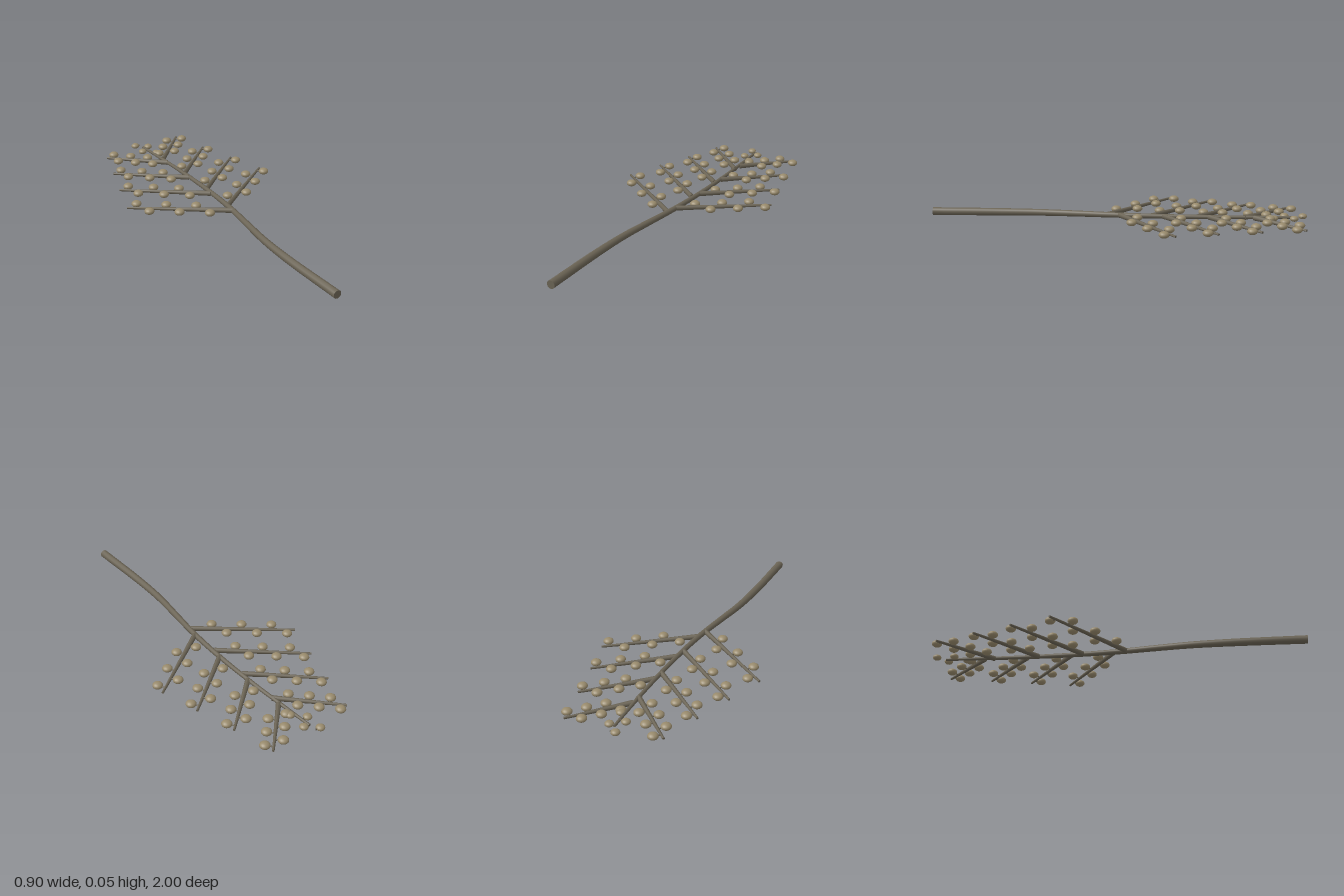
import * as THREE from 'three';

const V = (x, y, z) => new THREE.Vector3(x, y, z);
const UP = V(0, 1, 0);

// Capped cylinder bent along a curve, tapering from r0 to r1
function taperedRod(curve, r0, r1, sides, steps) {
  const geo = new THREE.CylinderGeometry(1, 1, 1, sides, steps);
  const pos = geo.attributes.position;
  for (let i = 0; i < pos.count; i++) {
    const t = THREE.MathUtils.clamp(pos.getY(i) + 0.5, 0, 1);
    const r = THREE.MathUtils.lerp(r0, r1, t);
    const tangent = curve.getTangent(t);
    const side = tangent.clone().cross(UP).normalize();
    const up = side.clone().cross(tangent);
    const p = curve.getPoint(t)
      .addScaledVector(side, pos.getX(i) * r)
      .addScaledVector(up, pos.getZ(i) * r);
    pos.setXYZ(i, p.x, p.y, p.z);
  }
  geo.computeVertexNormals();
  return geo;
}

export function createModel() {
  const model = new THREE.Group();
  model.name = 'berrySprig';
  const bark = new THREE.MeshStandardMaterial({ color: 0x6a6354 });
  const tan = new THREE.MeshStandardMaterial({ color: 0x988a6c });
  const berryGeo = new THREE.SphereGeometry(1, 16, 12);

  function addRod(parent, name, curve, r0, r1, sides, steps) {
    const rod = new THREE.Mesh(taperedRod(curve, r0, r1, sides, steps), bark);
    rod.name = name;
    parent.add(rod);
  }

  // Flattened berry on a short stalk
  function addBerry(parent, from, at, r) {
    addRod(parent, 'stalk', new THREE.LineCurve3(from, at), 0.004, 0.003, 6, 1);
    const berry = new THREE.Mesh(berryGeo, tan);
    berry.name = 'berry';
    berry.position.copy(at);
    berry.scale.set(r, r * 0.66, r);
    parent.add(berry);
  }

  // Main stem, gently S-curved and lying flat
  const stemCurve = new THREE.CatmullRomCurve3([
    V(-0.009, 0.022, 1), V(-0.022, 0.025, 0.62), V(-0.018, 0.028, 0.4),
    V(0.001, 0.031, 0.2), V(0.02, 0.033, 0), V(0.027, 0.034, -0.25),
    V(0.02, 0.035, -0.52), V(0.005, 0.036, -0.76), V(-0.009, 0.036, -0.935),
  ]);
  addRod(model, 'stem', stemCurve, 0.022, 0.007, 14, 48);

  // Side branches: base x, base z, tip x, tip z
  const branches = [
    [0.018, 0.05, -0.447, -0.275], [0.018, -0.19, -0.384, -0.49],
    [0.018, -0.43, -0.32, -0.70], [0.013, -0.67, -0.257, -0.915],
    [0.02, -0.015, 0.428, -0.335], [0.028, -0.25, 0.365, -0.545],
    [0.024, -0.49, 0.302, -0.76], [0.013, -0.725, 0.24, -0.98],
  ];
  for (const [bx, bz, tx, tz] of branches) {
    const branch = new THREE.Group();
    branch.name = tx < 0 ? 'rightBranch' : 'leftBranch';
    const line = new THREE.LineCurve3(V(bx, 0.034, bz), V(tx, 0.031, tz));
    addRod(branch, 'twig', line, 0.014, 0.006, 10, 1);
    const dir = line.getTangent(0);
    const across = V(-dir.z, 0, dir.x).normalize();
    // Six berries alternating along the twig
    for (let i = 0; i < 6; i++) {
      const from = line.getPoint(0.215 + 0.141 * i);
      const at = from.clone().addScaledVector(across, i % 2 ? 0.041 : -0.041);
      at.y = 0.037;
      addBerry(branch, from, at, 0.027);
    }
    model.add(branch);
  }

  // Small berries around the stem tip: stalk x, berry x, z
  const tip = new THREE.Group();
  tip.name = 'tipBerries';
  const tipBerries = [
    [0, 0.021, -0.825], [-0.005, -0.04, -0.881], [-0.008, 0.021, -0.93], [-0.012, -0.04, -0.977],
  ];
  for (const [sx, x, z] of tipBerries) addBerry(tip, V(sx, 0.036, z), V(x, 0.037, z), 0.023);
  model.add(tip);

  return model;
}
